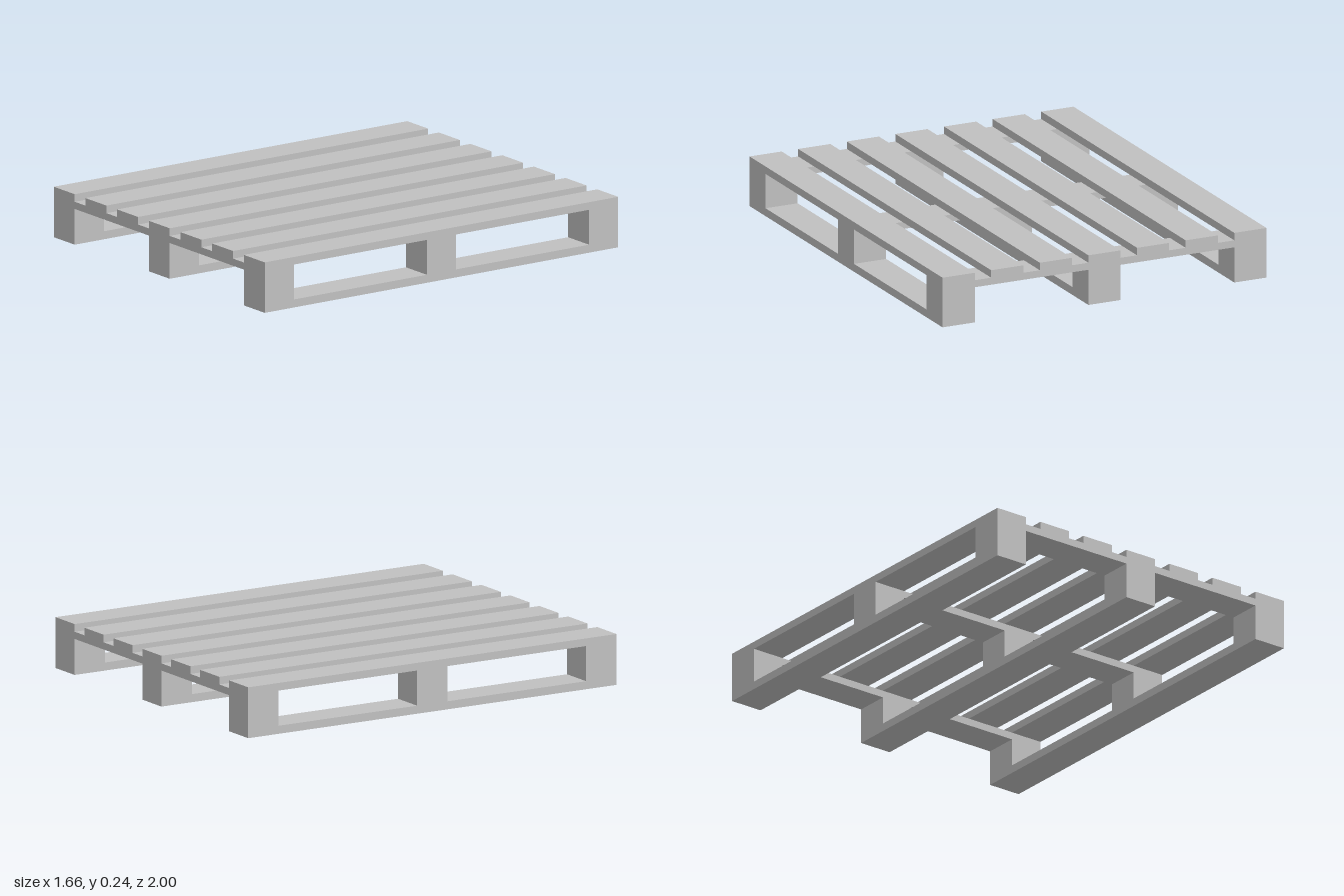
import * as THREE from 'three';

export function createModel() {
  const pallet = new THREE.Group();
  pallet.name = 'pallet';
  const wood = new THREE.MeshStandardMaterial({ color: 0xc0c0c0 });
  wood.name = 'plain grey';

  const W = 0.165;                    // board width
  const halfX = 0.83;                 // half the pallet width
  const edgeX = halfX - W / 2, edgeZ = 1 - W / 2;
  const levels = [0, 0.038, 0.17, 0.204, 0.24]; // runner, block, cross board, deck

  const addBox = (name, layer, w, d, x, z) => {
    const y0 = levels[layer], y1 = levels[layer + 1];
    const mesh = new THREE.Mesh(new THREE.BoxGeometry(w, y1 - y0, d), wood);
    mesh.name = name;
    mesh.position.set(x, (y0 + y1) / 2, z);
    pallet.add(mesh);
  };

  // Three bottom runners, each carrying three blocks
  for (const i of [-1, 0, 1]) {
    addBox('bottomRunner', 0, W, 2, i * edgeX, 0);
    for (const k of [-1, 0, 1]) addBox('spacerBlock', 1, W, W, i * edgeX, k * edgeZ);
  }

  // Three cross boards over the blocks
  for (const k of [-1, 0, 1]) addBox('crossBoard', 2, 2 * halfX, W, 0, k * edgeZ);

  // Seven deck boards
  for (let i = -3; i <= 3; i++) addBox('deckBoard', 3, W, 2, (i / 3) * edgeX, 0);

  return pallet;
}
